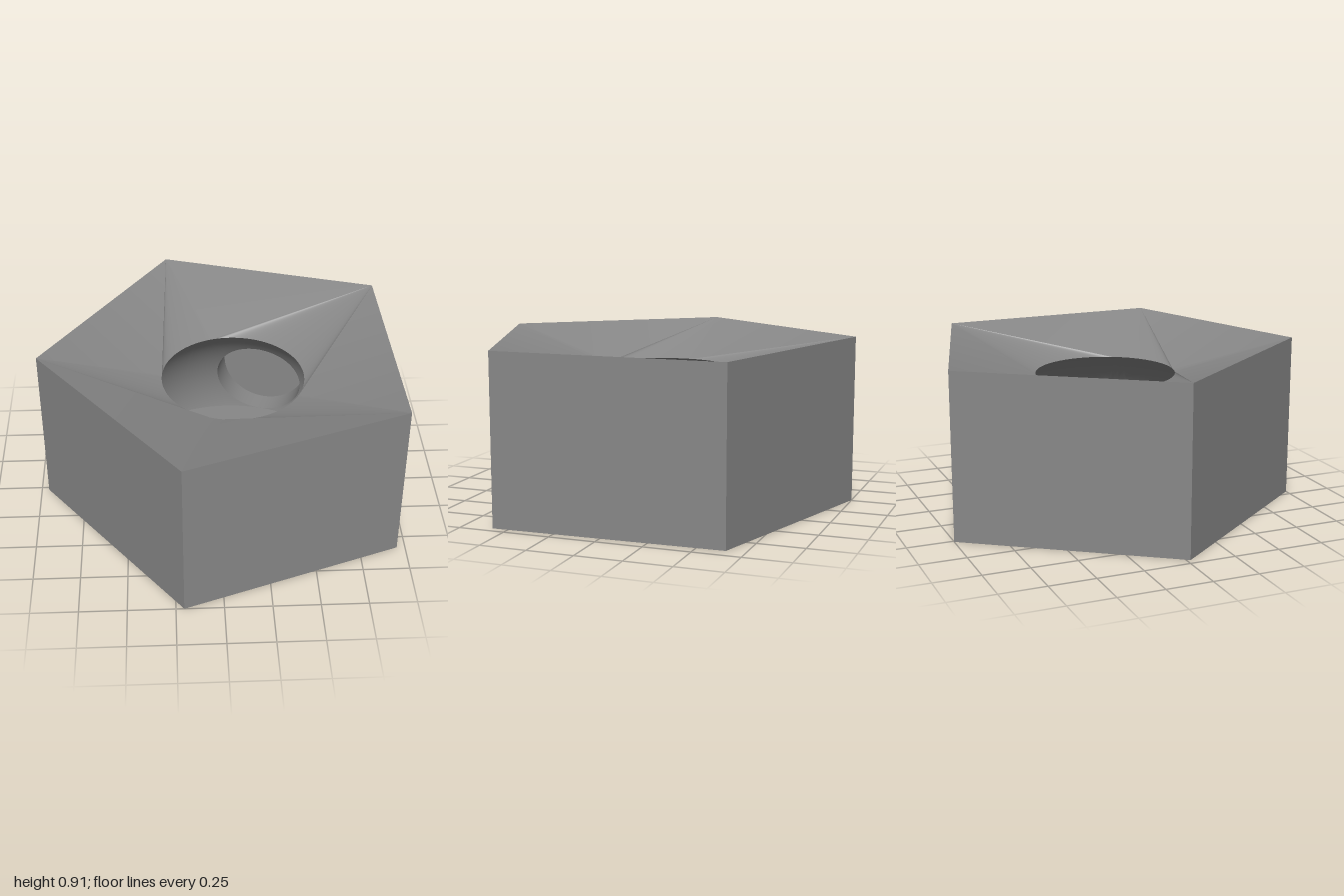
import * as THREE from 'three';
import { mergeVertices, toCreasedNormals } from 'three/addons/utils/BufferGeometryUtils.js';

const TOP = 0.91, RIM = 0.738, FLOOR = 0.012;
const CX = 0.09, CZ = -0.01, RIM_R = 0.387;
// Dome cavity and the round recesses in its wall
const DOME_R = Math.hypot(RIM_R, 0.62), DOME_Y = RIM - 0.62;
const HOLE_Y = 0.268, HOLE_R = 0.255;
const CLOSED_SECTOR = 1;

// Corners of the pentagon (x, z), in order of rising angle
const corners = [[0.925, -0.65], [0.955, 0.585], [-0.207, 1], [-0.96, 0.02], [-0.26, -1]];
// Rim angles (degrees) where the fan of one corner gives way to the next
const splits = [-105, 28, 101, 111, 185, 255];

const at = (i, y) => new THREE.Vector3(corners[i % 5][0], y, corners[i % 5][1]);
const polar = (r, a, y) => new THREE.Vector3(CX + r * Math.cos(a), y, CZ + r * Math.sin(a));
const domeRadius = (y) => Math.sqrt(DOME_R ** 2 - (y - DOME_Y) ** 2);

function meshOf(name, points, crease) {
  const geometry = new THREE.BufferGeometry().setFromPoints(points);
  const material = new THREE.MeshStandardMaterial({ color: 0x888888, side: THREE.DoubleSide });
  const mesh = new THREE.Mesh(toCreasedNormals(mergeVertices(geometry, 1e-5), crease), material);
  mesh.name = name;
  return mesh;
}

// Five flat sides
function outerWalls() {
  const p = [];
  for (let i = 0; i < 5; i++) {
    const a = at(i, TOP), b = at(i + 1, TOP), c = at(i + 1, 0), d = at(i, 0);
    p.push(a, b, c, a, c, d);
  }
  return meshOf('outerWalls', p, 0.3);
}

function base() {
  const p = [];
  for (let i = 1; i < 4; i++) p.push(at(0, 0), at(i, 0), at(i + 1, 0));
  return meshOf('base', p, 0.3);
}

// Sloping top: a fan from each corner to the rim, a triangle along each side
function funnelTop() {
  const p = [], rad = THREE.MathUtils.degToRad;
  for (let i = 0; i < 5; i++) {
    const a0 = rad(splits[i]), a1 = rad(splits[i + 1]);
    const n = Math.ceil((a1 - a0) / 0.05);
    for (let k = 0; k < n; k++) {
      p.push(at(i, TOP),
        polar(RIM_R, a0 + (a1 - a0) * k / n, RIM),
        polar(RIM_R, a0 + (a1 - a0) * (k + 1) / n, RIM));
    }
    p.push(at(i, TOP), polar(RIM_R, a1, RIM), at(i + 1, TOP));
  }
  return meshOf('funnelTop', p, 0.25);
}

// One fifth of the dome, with a round recess behind it unless it is closed
function cavitySector(i) {
  const N = 96, K = 10, half = Math.PI / 5;
  const mid = -0.024 + i * 2 * half;
  const radius = i === CLOSED_SECTOR ? 0 : HOLE_R;
  const a = at(i, 0), edge = at(i + 1, 0).sub(a).normalize();
  const normal = new THREE.Vector3(edge.z, 0, -edge.x);
  const wall = normal.dot(a);

  // Outline of the hole and of the sector, both as (angle, height)
  const hole = (t) => {
    const y = HOLE_Y + radius * Math.sin(t);
    return [Math.asin(radius * Math.cos(t) / domeRadius(y)), y];
  };
  const border = (t) => {
    const c = Math.cos(t), s = Math.sin(t);
    const up = s > 0 ? RIM - HOLE_Y : HOLE_Y - FLOOR;
    const m = Math.max(Math.abs(c), Math.abs(s));
    return [half * c / m, HOLE_Y + up * s / m];
  };
  const point = (n, k) => {
    const t = Math.PI / 4 + n / N * Math.PI * 2;
    const h = hole(t), b = border(t), f = k / K;
    const y = h[1] + (b[1] - h[1]) * f;
    return polar(domeRadius(y), mid + h[0] + (b[0] - h[0]) * f, y);
  };
  const onWall = (v) => v.clone().addScaledVector(normal, wall - normal.dot(v));

  const dome = [], recess = [];
  for (let n = 0; n < N; n++) {
    for (let k = 0; k < K; k++) {
      const p = point(n, k), q = point(n, k + 1), r = point(n + 1, k + 1), s = point(n + 1, k);
      dome.push(p, q, r);
      if (k > 0 || radius > 0) dome.push(p, r, s);
    }
    const u = point(n, 0), v = point(n + 1, 0), ue = onWall(u), ve = onWall(v);
    recess.push(u, v, ve, u, ve, ue);
  }
  const sector = new THREE.Group();
  sector.name = 'cavitySector';
  sector.add(meshOf('domeWall', dome, 0.6));
  if (radius > 0) sector.add(meshOf('sideRecess', recess, 0.6));
  return sector;
}

// Flat floor of the cavity
function cavityFloor() {
  const p = [], r = domeRadius(FLOOR), n = 80;
  for (let k = 0; k < n; k++) {
    p.push(new THREE.Vector3(CX, FLOOR, CZ),
      polar(r, (k + 1) / n * Math.PI * 2, FLOOR), polar(r, k / n * Math.PI * 2, FLOOR));
  }
  return meshOf('cavityFloor', p, 0.3);
}

export function createModel() {
  const model = new THREE.Group();
  model.name = 'pentagonalPot';
  model.add(outerWalls(), base(), funnelTop(), cavityFloor());
  for (let i = 0; i < 5; i++) model.add(cavitySector(i));
  return model;
}
